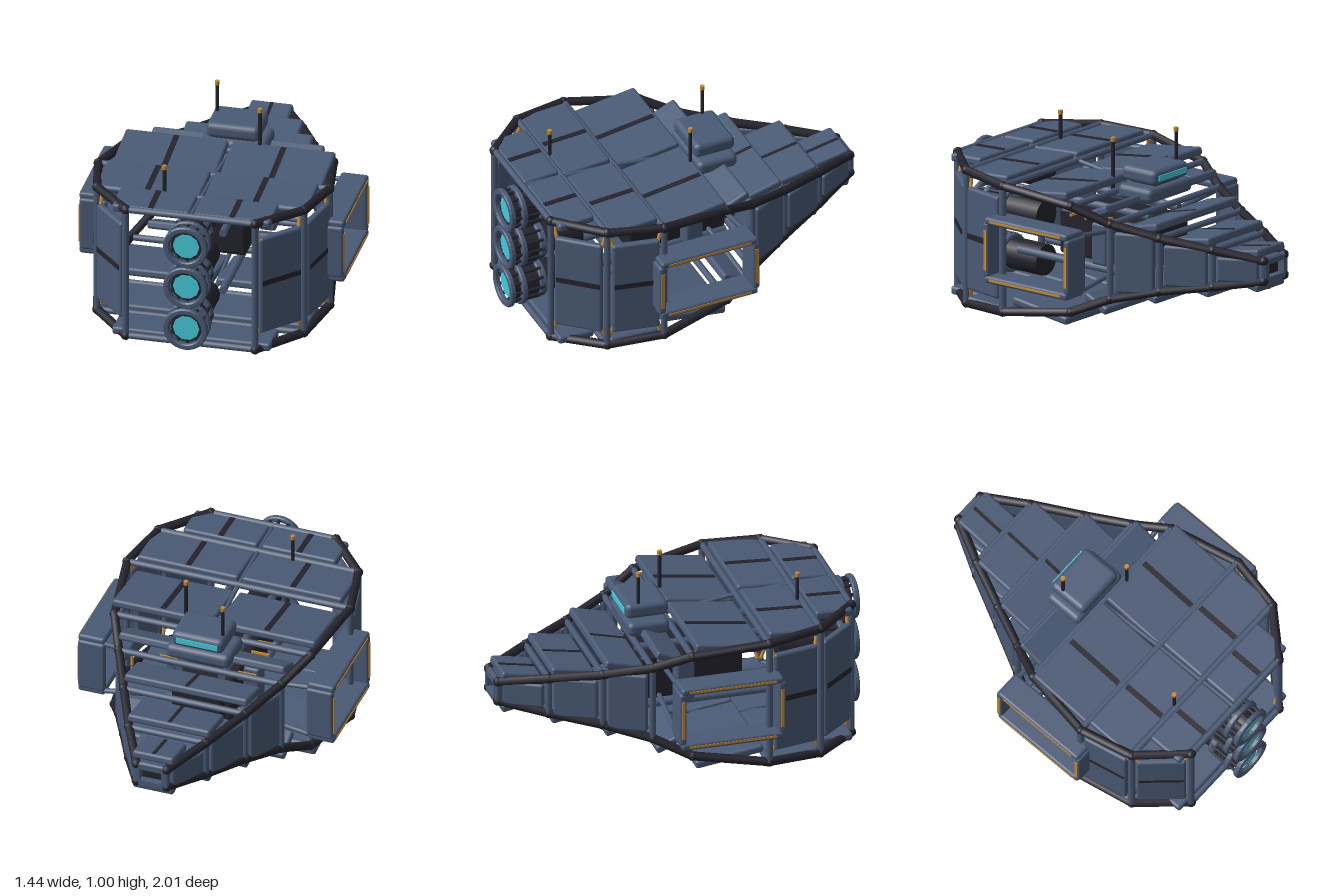
import * as THREE from 'three';
import { RoundedBoxGeometry } from 'three/addons/geometries/RoundedBoxGeometry.js';

const mat = (name, color) => {
  const m = new THREE.MeshStandardMaterial({ color });
  m.name = name;
  return m;
};

export function createModel() {
  const root = new THREE.Group();
  root.name = 'openFrameShip';
  const hull = mat('hull blue', 0x4a5a75), dark = mat('dark metal', 0x24232d);
  const gold = mat('gold trim', 0xc48a32), glow = mat('cyan glow', 0x45cbda);
  const MID = 0.395;

  const add = (parent, name, geo, m, x = 0, y = 0, z = 0) => {
    const mesh = new THREE.Mesh(geo, m);
    mesh.name = name;
    mesh.position.set(x, y, z);
    parent.add(mesh);
    return mesh;
  };
  const box = (p, name, m, w, h, d, x, y, z) => add(p, name, new THREE.BoxGeometry(w, h, d), m, x, y, z);
  const soft = (p, name, m, w, h, d, x, y, z, r = 0.015) =>
    add(p, name, new RoundedBoxGeometry(w, h, d, 2, r), m, x, y, z);
  const bar = (p, name, m, a, b, r) => {
    const A = new THREE.Vector3(...a), B = new THREE.Vector3(...b), d = B.clone().sub(A);
    const mesh = add(p, name, new THREE.CylinderGeometry(r, r, d.length(), 8), m);
    mesh.position.copy(A).add(B).multiplyScalar(0.5);
    mesh.quaternion.setFromUnitVectors(new THREE.Vector3(0, 1, 0), d.normalize());
    return mesh;
  };

  // Frame stations: z, half width, half height
  const S = [
    [-0.98, 0.085, 0.055], [-0.74, 0.215, 0.10], [-0.48, 0.34, 0.145], [-0.24, 0.455, 0.205],
    [-0.05, 0.55, 0.29], [0.35, 0.625, 0.345], [0.65, 0.56, 0.363], [0.88, 0.35, 0.373],
  ];

  // Rectangular ribs and the dark rails that join them
  const frame = new THREE.Group();
  frame.name = 'frame';
  root.add(frame);
  S.forEach(([z, w, h], i) => {
    for (const s of [-1, 1]) {
      bar(frame, 'crossBar', hull, [-w, MID + s * h, z], [w, MID + s * h, z], 0.018);
      if (i !== 4) bar(frame, 'post', hull, [s * w, MID - h, z], [s * w, MID + h, z], 0.019);
      for (const t of [-1, 1]) {
        const c = [s * w, MID + t * h, z];
        add(frame, 'joint', new THREE.IcosahedronGeometry(0.027, 1), dark, ...c);
        if (i < 7) {
          const [z2, w2, h2] = S[i + 1];
          bar(frame, 'rail', dark, c, [s * w2, MID + t * h2, z2], 0.024);
        }
      }
      if (i > 3 && i < 7) {
        bar(frame, 'keel', hull, [0, MID + s * h, z], [0, MID + s * S[i + 1][2], S[i + 1][0]], 0.012);
      }
    }
  });

  // Nose end block around the small square opening
  for (const s of [-1, 1]) {
    box(root, 'noseSide', hull, 0.03, 0.13, 0.05, s * 0.075, MID, -0.975);
    box(root, 'noseCap', hull, 0.17, 0.03, 0.05, 0, MID + s * 0.05, -0.975);
  }
  box(root, 'nosePlug', dark, 0.12, 0.08, 0.02, 0, MID, -0.95);

  // Deck plates above and below, tilted like louvres
  const deckWidth = [0.115, 0.23, 0.345, 0.465, 0.57, 0.575, 0.43];
  const deck = (i, s) => {
    const [z1, , h1] = S[i], [z2, , h2] = S[i + 1];
    const g = new THREE.Group();
    g.name = s > 0 ? 'upperDeck' : 'lowerDeck';
    g.position.set(0, MID + s * (h1 + h2) / 2, (z1 + z2) / 2);
    g.rotation.x = s * Math.atan((h2 - h1) / (z2 - z1));
    const len = z2 - z1 - 0.025, W = deckWidth[i];
    const split = i > 3;
    const w = split ? W - 0.012 : 2 * W;
    for (const x of split ? [-W / 2 - 0.005, W / 2 + 0.005] : [0]) {
      soft(g, 'deckPlate', hull, w, 0.045, len, x, 0, 0);
      box(g, 'deckStripe', dark, split ? 0.03 : 0.018, 0.004, len * 0.9, x, s * 0.0235, 0);
    }
    root.add(g);
  };
  for (let i = 0; i < 7; i++) for (const s of [-1, 1]) deck(i, s);

  // Side plates with a dark band and gold corner brackets
  const sidePlate = (i, s) => {
    const [z1, w1, h1] = S[i], [z2, w2, h2] = S[i + 1];
    const g = new THREE.Group();
    g.name = 'sidePlate';
    const len = Math.hypot(z2 - z1, w2 - w1) - 0.05;
    const h = i < 4 ? h1 + h2 - 0.02 : 0.56;
    g.position.set(s * (w1 + w2) / 2, MID, (z1 + z2) / 2);
    g.rotation.y = s * Math.atan2(w2 - w1, z2 - z1);
    soft(g, 'plate', hull, 0.04, h, len, 0, 0, 0);
    if (i > 4) {
      box(g, 'plateBand', dark, 0.004, 0.03, len * 0.92, s * 0.021, 0.015, 0);
      for (const t of [-1, 1]) for (const e of [-1, 1]) {
        bar(g, 'bracket', gold, [0, t * 0.25, e * len * 0.46], [-s * 0.02, t * 0.325, e * len * 0.54], 0.01);
      }
    }
    root.add(g);
  };
  for (const i of [0, 1, 2, 5, 6]) for (const s of [-1, 1]) sidePlate(i, s);

  // Central core with small side boxes and gold ladders
  soft(root, 'core', dark, 0.34, 0.25, 0.56, 0, 0.4, 0.06, 0.02);
  box(root, 'coreTail', dark, 0.26, 0.2, 0.08, 0, 0.4, -0.25);
  for (const s of [-1, 1]) {
    soft(root, 'coreSideBox', hull, 0.09, 0.23, 0.10, s * 0.215, 0.4, 0.0);
    for (const z of [-0.12, -0.02, 0.08, 0.18]) {
      box(root, 'coreRung', gold, 0.1, 0.012, 0.012, s * 0.22, 0.53, z);
    }
    for (const t of [-1, 1]) {
      bar(root, 'coreBeam', hull, [s * 0.12, MID + t * 0.17, -0.24], [s * 0.12, MID + t * 0.17, 0.65], 0.022);
      bar(root, 'bayStrut', hull, [s * 0.16, MID + t * 0.1, -0.12], [s * 0.57, MID + t * 0.15, -0.14], 0.014);
    }
  }

  // Open box bays on both sides, edged in gold
  for (const s of [-1, 1]) {
    const g = new THREE.Group();
    g.name = s > 0 ? 'leftBay' : 'rightBay';
    for (const t of [-1, 1]) {
      soft(g, 'bayShelf', hull, 0.15, 0.04, 0.56, s * 0.643, 0.4 + t * 0.16, 0.125);
      box(g, 'shelfTrim', gold, 0.006, 0.012, 0.48, s * 0.718, 0.4 + t * 0.16, 0.125);
      soft(g, 'bayWall', hull, 0.15, 0.3, 0.04, s * 0.64, 0.4, 0.125 + t * 0.272);
      box(g, 'wallTrim', gold, 0.006, 0.22, 0.018, s * 0.716, 0.4, 0.125 + t * 0.272);
    }
    root.add(g);
  }

  // Three stacked engines
  const ring = (g, r1, r2, z, d, m) => {
    const sh = new THREE.Shape().absarc(0, 0, r1, 0, Math.PI * 2);
    sh.holes.push(new THREE.Path().absarc(0, 0, r2, 0, Math.PI * 2, true));
    const geo = new THREE.ExtrudeGeometry(sh, {
      depth: d - 0.012, bevelThickness: 0.006, bevelSize: 0.006, bevelOffset: -0.006, bevelSegments: 1, curveSegments: 14,
    });
    add(g, 'engineRing', geo, m, 0, 0, z + 0.006);
  };
  for (const y of [0.155, 0.4, 0.64]) {
    const g = new THREE.Group();
    g.name = 'engine';
    g.position.y = y;
    const body = add(g, 'engineBody', new THREE.CylinderGeometry(0.085, 0.085, 0.4, 20), dark, 0, 0, 0.765);
    body.rotation.x = Math.PI / 2;
    ring(g, 0.12, 0.088, 0.97, 0.03, hull);
    ring(g, 0.12, 0.08, 0.9, 0.03, hull);
    ring(g, 0.105, 0.08, 0.78, 0.04, hull);
    for (let k = 0; k < 12; k++) {
      const a = k * Math.PI / 6, c = Math.cos(a) * 0.1, d = Math.sin(a) * 0.1;
      bar(g, 'engineRib', dark, [c, d, 0.8], [c, d, 0.98], 0.009);
    }
    add(g, 'engineGlow', new THREE.CircleGeometry(0.072, 10), glow, 0, 0, 0.975);
    root.add(g);
  }

  // Sensor pod with its light strip
  soft(root, 'podBase', hull, 0.36, 0.08, 0.23, 0, 0.69, -0.175, 0.03);
  soft(root, 'pod', hull, 0.29, 0.085, 0.235, 0, 0.782, -0.175, 0.03);
  box(root, 'podNeck', dark, 0.2, 0.03, 0.16, 0, 0.735, -0.175);
  box(root, 'podLight', glow, 0.23, 0.03, 0.008, 0, 0.782, -0.294);

  // Antennas with gold tips
  for (const [x, z, y0, y1] of [[-0.12, -0.22, 0.8, 1.0], [0.16, -0.02, 0.68, 0.97], [-0.2, 0.63, 0.62, 0.92]]) {
    bar(root, 'antenna', dark, [x, y0, z], [x, y1 - 0.02, z], 0.01);
    bar(root, 'antennaTip', gold, [x, y1 - 0.022, z], [x, y1, z], 0.013);
  }
  return root;
}
